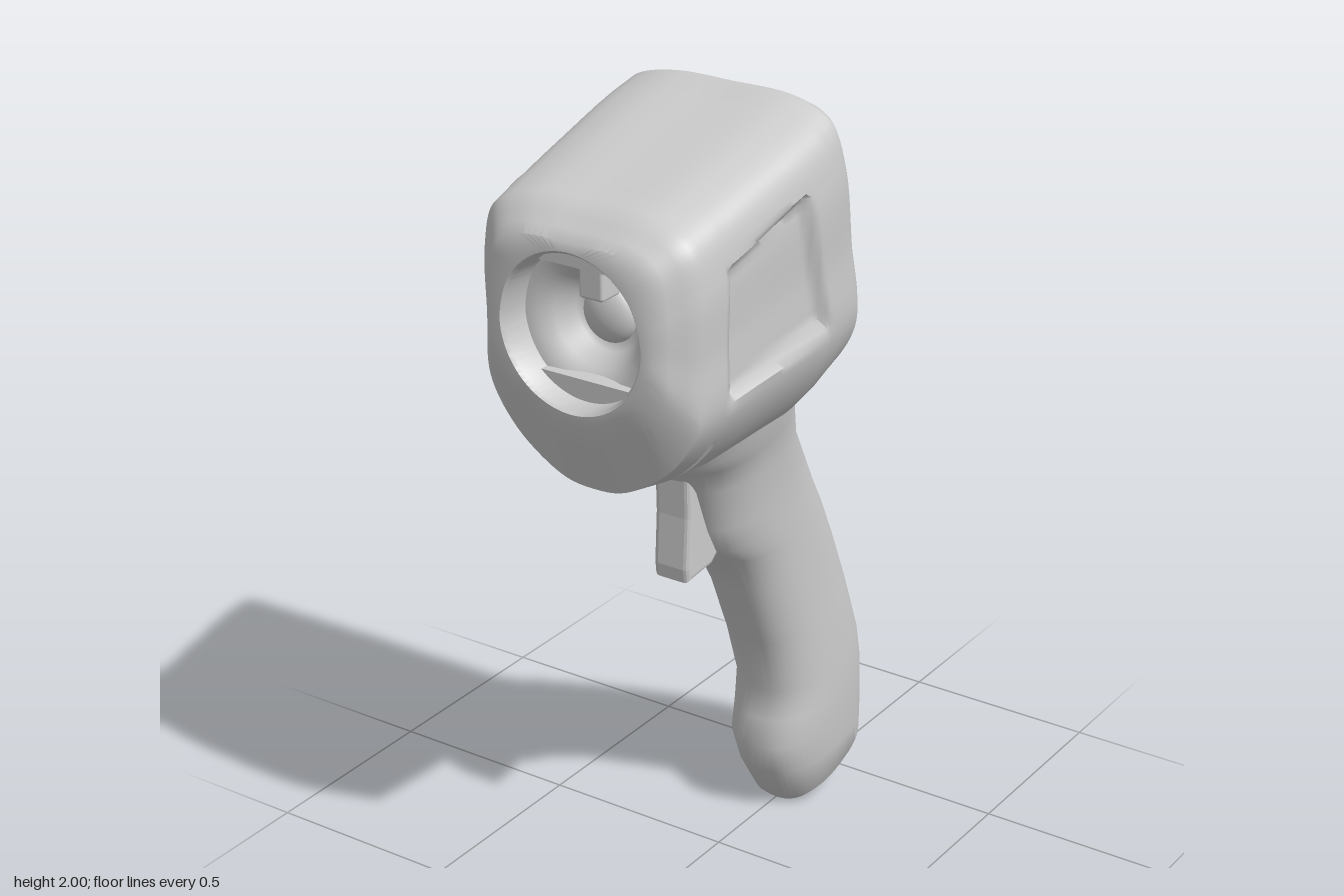
import * as THREE from 'three';
import { toCreasedNormals } from 'three/addons/utils/BufferGeometryUtils.js';
import { RoundedBoxGeometry } from 'three/addons/geometries/RoundedBoxGeometry.js';

const material = new THREE.MeshStandardMaterial({ color: 0xcccccc, roughness: 0.7 });
const LENS_Y = 1.59;

function add(parent, name, geometry, x = 0, y = 0, z = 0) {
  const mesh = new THREE.Mesh(geometry, material);
  mesh.name = name;
  mesh.position.set(x, y, z);
  parent.add(mesh);
  return mesh;
}

// Skin a list of closed rings, with optional fans over the first and last ring
function loft(rings, capStart, capEnd, crease) {
  const n = rings[0].length, pos = [], idx = [];
  rings.forEach(r => r.forEach(p => pos.push(p.x, p.y, p.z)));
  for (let i = 0; i < rings.length - 1; i++) {
    for (let j = 0; j < n; j++) {
      const k = (j + 1) % n, a = i * n + j, b = i * n + k;
      idx.push(a, a + n, b, b, a + n, b + n);
    }
  }
  const cap = (r, flip) => {
    const c = new THREE.Vector3(), base = r * n, centre = pos.length / 3;
    rings[r].forEach(p => c.addScaledVector(p, 1 / n));
    pos.push(c.x, c.y, c.z);
    for (let j = 0; j < n; j++) {
      const k = (j + 1) % n;
      idx.push(centre, base + (flip ? k : j), base + (flip ? j : k));
    }
  };
  if (capStart) cap(0, false);
  if (capEnd) cap(rings.length - 1, true);
  const g = new THREE.BufferGeometry();
  g.setAttribute('position', new THREE.Float32BufferAttribute(pos, 3));
  g.setIndex(idx);
  return toCreasedNormals(g, crease);
}

// Mirror a half outline (top centre to bottom centre) and smooth it into a ring
function smoothRing(half, z, lean) {
  const left = half.slice(1, -1).reverse().map(([x, y]) => [-x, y]);
  const pts = [...half, ...left].map(([x, y]) => new THREE.Vector3(x, y, z + lean * (y - 1.6)));
  const curve = new THREE.CatmullRomCurve3(pts, true, 'centripetal');
  return Array.from({ length: 144 }, (_, i) => curve.getPoint(i / 144));
}

// Shield outline: w half width, top, shoulder where the taper starts, bottom, wb bottom half width
function shield(w, top, shoulder, bottom, wb, z, lean) {
  return smoothRing([
    [0, top], [w * 0.6, top - 0.006], [w * 0.9, top - 0.045], [w, top - 0.15],
    [w, (top - 0.15 + shoulder) / 2], [w * 0.985, shoulder],
    [(w + wb) / 2 + 0.01, (shoulder + bottom) / 2], [wb, bottom + 0.035],
    [wb * 0.5, bottom + 0.006], [0, bottom],
  ], z, lean);
}

function circle(r, z) {
  const angles = [0, 22, 42, 62, 90, 110, 130, 148, 165, 180];
  return smoothRing(angles.map(d => {
    const a = THREE.MathUtils.degToRad(d);
    return [d % 180 ? r * Math.sin(a) : 0, LENS_Y + r * Math.cos(a)];
  }), z, 0);
}

function headGeometry() {
  // [ring, subdivisions up to the next ring], from the screen floor to the lens well
  const stations = [
    [shield(0.25, 1.95, 1.46, 1.29, 0.08, -0.06, 0.2), 1],
    [shield(0.262, 1.965, 1.46, 1.255, 0.085, -0.118, 0.18), 1],
    [shield(0.272, 1.98, 1.46, 1.24, 0.09, -0.128, 0.18), 1],
    [shield(0.286, 1.993, 1.46, 1.225, 0.1, -0.124, 0.18), 1],
    [shield(0.302, 1.998, 1.45, 1.2, 0.13, -0.1, 0.17), 6],
    [shield(0.313, 1.977, 1.45, 1.19, 0.155, -0.02, 0.15), 6],
    [shield(0.313, 1.96, 1.44, 1.18, 0.16, 0.05, 0.15), 16],
    [shield(0.301, 1.907, 1.42, 1.17, 0.15, 0.3, 0.05), 8],
    [shield(0.296, 1.889, 1.41, 1.178, 0.145, 0.385, 0), 1],
    [shield(0.296, 1.888, 1.41, 1.178, 0.145, 0.388, 0), 1],
    [shield(0.295, 1.884, 1.41, 1.18, 0.145, 0.41, 0), 1],
    [shield(0.295, 1.883, 1.41, 1.18, 0.145, 0.413, 0), 4],
    [shield(0.287, 1.86, 1.4, 1.19, 0.13, 0.5, 0), 3],
    [shield(0.22, 1.8, 1.52, 1.378, 0.11, 0.577, 0), 1],
    [circle(0.189, 0.58), 1],
    [circle(0.182, 0.572), 1],
    [circle(0.178, 0.48), 1],
  ];
  const rings = [];
  stations.forEach(([ring, steps], i) => {
    const next = stations[i + 1];
    if (!next) { rings.push(ring); return; }
    for (let s = 0; s < steps; s++) rings.push(ring.map((p, j) => p.clone().lerp(next[0][j], s / steps)));
  });
  // Press in the side panels and the short slot behind the lens housing
  rings.slice(4, -3).forEach(r => r.forEach(p => {
    const { y, z } = p, side = Math.sign(p.x);
    if (Math.abs(p.x) > 0.2) {
      const inside = Math.min(0.4 - z, z - (y - 1.46) * 0.26,
        1.75 + (0.4 - z) * 0.3 - y, y - 1.42 - (0.4 - z) * 0.15);
      p.x -= side * 0.026 * THREE.MathUtils.smoothstep(inside, 0, 0.03);
    }
    if (z > 0.3865 && z < 0.4115 && y < 1.33) {
      p.x *= 0.92;
      p.y += 0.015;
    }
  }));
  return loft(rings, true, false, 0.8);
}

function handleGeometry() {
  // [front z, front y, back z, back y, half width], from the neck down
  const sections = [
    [0.32, 1.3, -0.11, 1.4, 0.2],
    [0.29, 1.165, -0.168, 1.27, 0.18],
    [0.22, 1.125, -0.2, 1.2, 0.155],
    [0.175, 1.06, -0.23, 1.1, 0.136],
    [0.13, 0.94, -0.29, 1.0, 0.126],
    [0.09, 0.865, -0.325, 0.935, 0.122],
    [0.02, 0.815, -0.37, 0.85, 0.12],
    [-0.05, 0.7, -0.425, 0.735, 0.118],
    [-0.13, 0.52, -0.48, 0.6, 0.122],
    [-0.19, 0.36, -0.53, 0.45, 0.13],
    [-0.175, 0.28, -0.555, 0.35, 0.13],
    [-0.156, 0.21, -0.565, 0.25, 0.128],
    [-0.185, 0.125, -0.572, 0.17, 0.12],
    [-0.25, 0.018, -0.575, 0.13, 0.11],
    [-0.268, 0.002, -0.545, 0.105, 0.09],
  ];
  const soften = v => Math.sign(v) * Math.abs(v) ** 0.8;
  const rings = sections.map(([fz, fy, bz, by, w]) => Array.from({ length: 48 }, (_, i) => {
    const a = i / 48 * Math.PI * 2, t = soften(Math.cos(a)) / 2;
    return new THREE.Vector3(w * soften(Math.sin(a)), (fy + by) / 2 + (fy - by) * t, (fz + bz) / 2 + (fz - bz) * t);
  }));
  return loft(rings, true, true, 0.8);
}

function extrude(points, depth, bevel) {
  const shape = new THREE.Shape(points.map(([x, y]) => new THREE.Vector2(x, y)));
  const g = new THREE.ExtrudeGeometry(shape, {
    depth: depth - 2 * bevel, bevelSize: bevel, bevelThickness: bevel, bevelOffset: -bevel, bevelSegments: 3,
  });
  return g.translate(0, 0, bevel - depth / 2);
}

export function createModel() {
  const model = new THREE.Group();
  add(model, 'head', headGeometry());
  add(model, 'handle', handleGeometry());

  // Trigger, drawn in profile and turned to run across the handle
  const trigger = extrude([[0.2, 1.14], [0.196, 1.0], [0.204, 0.87], [0.2, 0.835], [0.1, 0.845], [0.03, 0.9], [0.08, 1.14]], 0.1, 0.014);
  add(model, 'trigger', trigger.rotateY(-Math.PI / 2));

  // Lens well: funnel, lens, two flat lips and the tab above the lens
  const lens = new THREE.Group();
  lens.name = 'lens';
  lens.position.set(0, LENS_Y, 0);
  model.add(lens);
  const funnel = [[0.182, 0.5], [0.15, 0.495], [0.12, 0.47], [0.09, 0.43], [0.07, 0.41], [0, 0.41]]
    .reverse().map(([r, z]) => new THREE.Vector2(r, -z));
  const funnelMesh = add(lens, 'lensFunnel', new THREE.LatheGeometry(funnel, 48).rotateX(-Math.PI / 2));
  funnelMesh.material = material.clone();
  funnelMesh.material.side = THREE.DoubleSide;
  const glass = new THREE.SphereGeometry(0.07, 32, 12, 0, Math.PI * 2, 0, Math.PI / 2);
  add(lens, 'lensGlass', glass.rotateX(Math.PI / 2).scale(1, 1, 0.5), 0, 0, 0.425);
  [1, -1].forEach(s => {
    const a = Math.asin(0.13 / 0.18), lip = new THREE.Shape();
    lip.absarc(0, 0, 0.18, a, Math.PI - a, false);
    const g = new THREE.ExtrudeGeometry(lip, { depth: 0.09, bevelEnabled: false, curveSegments: 16 });
    if (s < 0) g.rotateZ(Math.PI);
    add(lens, s > 0 ? 'upperLip' : 'lowerLip', g, 0, 0, 0.43);
  });
  add(lens, 'lensTab', new RoundedBoxGeometry(0.065, 0.08, 0.09, 2, 0.008), 0, 0.092, 0.455);

  // Screen and keys lie on the sloping floor of the rear recess
  const panel = new THREE.Group();
  panel.name = 'rearPanel';
  panel.position.set(0, 1.6, -0.06);
  panel.rotation.x = Math.atan(0.2);
  model.add(panel);
  add(panel, 'screen', extrude([[-0.2, -0.1], [0.2, -0.1], [0.215, 0.3], [0.19, 0.325], [-0.19, 0.325], [-0.215, 0.3]], 0.014, 0.003));
  const pad = (r, c) => [[-r, c - r], [c - r, -r], [r - c, -r], [r, c - r], [r, r - c], [r - c, r], [c - r, r], [-r, r - c]];
  add(panel, 'keypadRing', extrude(pad(0.07, 0.022), 0.03, 0.008), 0, -0.205, 0);
  add(panel, 'keypadCentre', extrude(pad(0.052, 0.016), 0.05, 0.008), 0, -0.205, 0);
  [1, -1].forEach(s => {
    const pts = [[0.088, -0.185], [0.14, -0.185], [0.195, -0.145], [0.195, -0.125], [0.088, -0.135]].map(([x, y]) => [s * x, y]);
    add(panel, s > 0 ? 'leftKey' : 'rightKey', extrude(pts, 0.045, 0.007));
  });
  add(panel, 'roundKey', new THREE.CylinderGeometry(0.016, 0.016, 0.045, 20).rotateX(Math.PI / 2), -0.108, -0.228, 0);
  return model;
}
